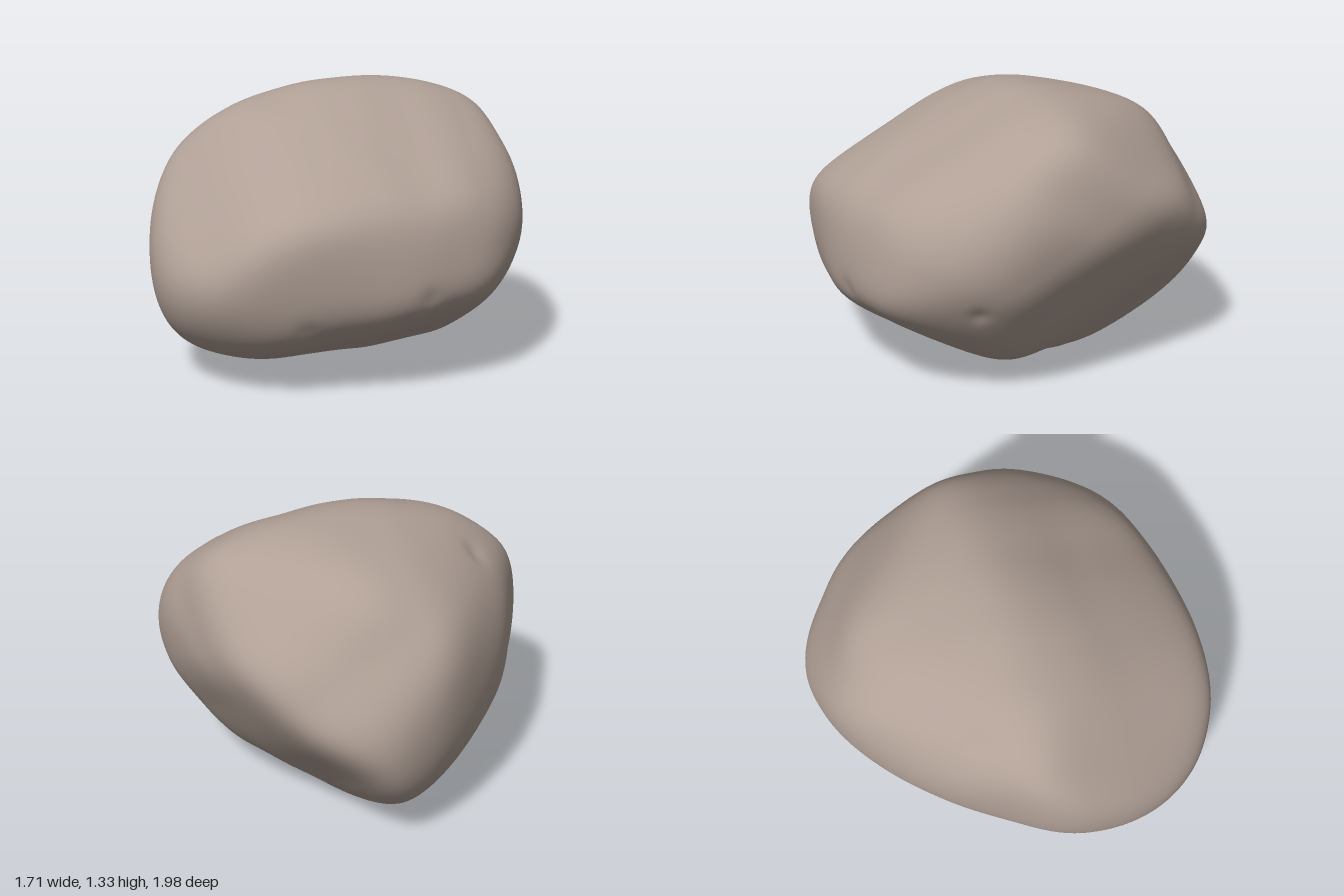
import * as THREE from 'three';
import { mergeVertices } from 'three/addons/utils/BufferGeometryUtils.js';

const SIDES = 16, BLEND = 14;

// Outlines of the boulder about its middle: the turn and tilt of the plane in degrees,
// and the radius at sixteen equal angles counted from the plane's right
const outlines = [
  { turn: 0, tilt: 0,
    radii: [.85, .79, .735, .69, .67, .705, .78, .85, .86, .855, .81, .725, .64, .63, .725, .845] },
  { turn: -90, tilt: 0,
    radii: [.985, .8, .685, .64, .655, .725, .84, .925, .99, .965, .87, .73, .66, .685, .82, .995] },
  { turn: 0, tilt: -90,
    radii: [.85, .81, .805, .88, .98, 1.01, .96, .865, .855, .925, 1.04, 1.07, .96, .87, .845, .855] },
  { turn: 45, tilt: 30,
    radii: [.845, .865, .9, .855, .82, .81, .84, .914, .965, 1.015, .935, .745, .66, .66, .75, .805] },
  { turn: -135, tilt: 30,
    radii: [.97, .84, .715, .62, .575, .605, .735, .85, .815, .735, .715, .775, .875, .845, .885, .955] },
  { turn: 135, tilt: -30,
    radii: [1.06, .97, .91, .885, .865, .79, .735, .755, .79, .84, .885, .875, .84, .845, .91, 1.015] },
].map(({ turn, tilt, radii }) => {
  const a = THREE.MathUtils.degToRad(turn), e = THREE.MathUtils.degToRad(tilt);
  return {
    radii,
    right: new THREE.Vector3(Math.cos(a), 0, -Math.sin(a)),
    up: new THREE.Vector3(-Math.sin(e) * Math.sin(a), Math.cos(e), -Math.sin(e) * Math.cos(a)),
  };
});

// Length and angle step of a point laid onto an outline's plane
function project(p, { right, up }) {
  const u = p.dot(right), v = p.dot(up);
  return { length: Math.hypot(u, v), step: (Math.atan2(v, u) / (2 * Math.PI) + 1) * SIDES };
}

// Smooth closed curve through the radii
function radiusAt(radii, step) {
  const i = Math.floor(step), t = step - i;
  const p = radii[(i + SIDES - 1) % SIDES], q = radii[i % SIDES];
  const r = radii[(i + 1) % SIDES], w = radii[(i + 2) % SIDES];
  return q + 0.5 * t * (r - p + t * (2 * p - 5 * q + 4 * r - w + t * (3 * (q - r) + w - p)));
}

// Softly blended limit of all outlines in one direction
function reach(dir, limits) {
  let sum = 0;
  outlines.forEach((outline, k) => {
    const { length, step } = project(dir, outline);
    sum += (length / radiusAt(limits[k], step)) ** BLEND;
  });
  return sum ** (-1 / BLEND);
}

// Loosens or tightens the limits until the blended body fills each outline
function tuneLimits(dirs) {
  const limits = outlines.map((outline) => [...outline.radii]);
  const p = new THREE.Vector3();
  for (let round = 0; round < 7; round++) {
    const points = dirs.map((dir) => dir.clone().multiplyScalar(reach(dir, limits)));
    outlines.forEach((outline, k) => {
      const filled = new Array(SIDES).fill(0);
      for (const point of points) {
        const { length, step } = project(p.copy(point), outline);
        const near = Math.round(step);
        if (Math.abs(step - near) < 0.12) filled[near % SIDES] = Math.max(filled[near % SIDES], length);
      }
      outline.radii.forEach((radius, i) => {
        const next = limits[k][i] * (radius / filled[i]) ** 0.7;
        limits[k][i] = THREE.MathUtils.clamp(next, 0.9 * radius, 1.2 * radius);
      });
    });
  }
  return limits;
}

// Small hollows: direction, width, depth
const dents = [
  [-0.62, 0.42, 0.08, 0.07, 0.015], [0.8, -0.22, -0.34, 0.05, 0.012],
  [0.7, -0.2, 0.4, 0.06, 0.008], [0.3, -0.35, 0.85, 0.06, 0.008],
].map(([x, y, z, width, depth]) => ({ dir: new THREE.Vector3(x, y, z).normalize(), width, depth }));

// Gentle unevenness of the stone
function surfaceRelief(d) {
  let h = 0.002 * Math.sin(9 * d.x + 4 * d.y + 1) * Math.sin(8 * d.z - 5 * d.y);
  for (const k of dents) h -= k.depth * Math.exp(-d.distanceToSquared(k.dir) / k.width ** 2);
  return h;
}

export function createModel() {
  const stone = new THREE.MeshStandardMaterial({ color: 0xb0a096 });
  stone.name = 'warm grey stone';

  // Sphere with shared vertices, so the normals come out smooth
  const ball = new THREE.IcosahedronGeometry(1, 40);
  ball.deleteAttribute('uv');
  ball.deleteAttribute('normal');
  const geometry = mergeVertices(ball, 1e-5);

  // Push it out to the blended limit of all outlines
  const pos = geometry.attributes.position;
  const dirs = Array.from({ length: pos.count },
    (_, i) => new THREE.Vector3().fromBufferAttribute(pos, i).normalize());
  const limits = tuneLimits(dirs);
  dirs.forEach((d, i) => {
    const r = reach(d, limits) + surfaceRelief(d);
    pos.setXYZ(i, d.x * r, d.y * r, d.z * r);
  });
  geometry.computeVertexNormals();
  geometry.computeBoundingBox();

  // Rest it on the ground
  const boulder = new THREE.Mesh(geometry, stone);
  boulder.name = 'boulder';
  boulder.position.y = -geometry.boundingBox.min.y;
  const group = new THREE.Group();
  group.name = 'rock';
  group.add(boulder);
  return group;
}
